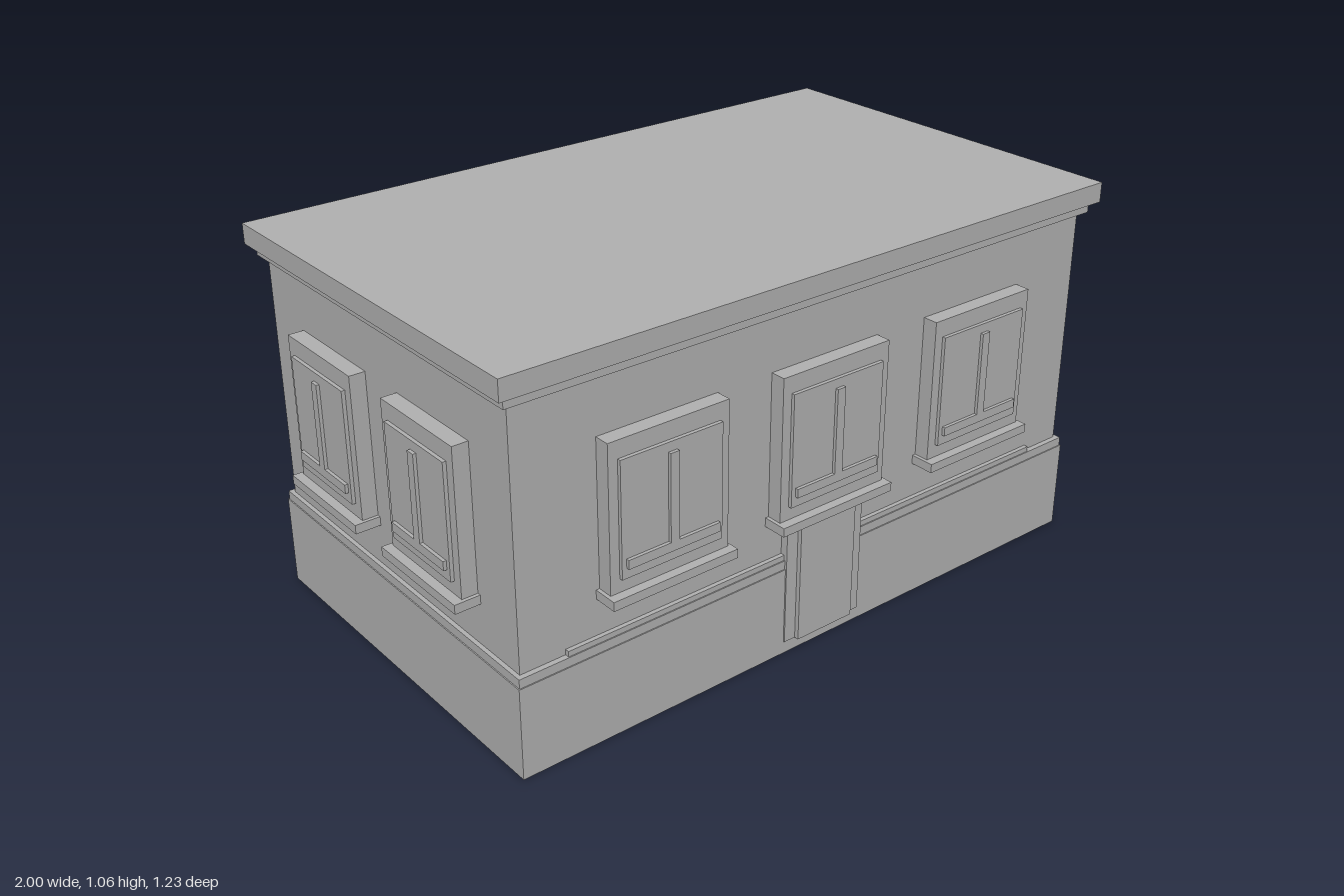
import * as THREE from 'three';

export function createModel() {
  const model = new THREE.Group();
  model.name = 'building';
  const stone = new THREE.MeshStandardMaterial({ color: 0xb2b2b2 });
  stone.name = 'grey stone';

  // Box given by its limits on each axis
  function block(parent, name, [x0, x1], [y0, y1], [z0, z1]) {
    const mesh = new THREE.Mesh(new THREE.BoxGeometry(x1 - x0, y1 - y0, z1 - z0), stone);
    mesh.position.set((x0 + x1) / 2, (y0 + y1) / 2, (z0 + z1) / 2);
    mesh.name = name;
    parent.add(mesh);
  }
  const span = (half) => [-half, half];

  // Main body, from the ground up
  block(model, 'base', span(0.943), [0, 0.255], span(0.563));
  block(model, 'baseTop', span(0.94), [0.255, 0.28], span(0.56));
  block(model, 'walls', span(0.928), [0.28, 0.97], span(0.545));
  block(model, 'lowerCornice', span(0.948), [0.97, 1.0], span(0.565));
  block(model, 'roofSlab', span(0.97), [1.0, 1.056], span(0.585));

  // Thin ledges above the base, broken by the door at the front
  block(model, 'frontLedgeRight', [-0.8, -0.13], [0.28, 0.295], [0.54, 0.557]);
  block(model, 'frontLedgeLeft', [0.13, 0.8], [0.28, 0.295], [0.54, 0.557]);
  block(model, 'backLedge', span(0.8), [0.28, 0.295], [-0.557, -0.54]);

  // Door and its surround
  block(model, 'doorSurround', span(0.13), [0.036, 0.395], [0.54, 0.567]);
  block(model, 'door', span(0.094), [0.036, 0.395], [0.54, 0.58]);

  // Window facing +z, with its local z = 0 on the wall plane
  function makeWindow(width) {
    const w = new THREE.Group();
    w.name = 'window';
    const half = width / 2;
    block(w, 'sill', span(half + 0.01), [0.395, 0.42], [-0.01, 0.069]);
    block(w, 'windowFrame', span(half), [0.42, 0.817], [-0.01, 0.043]);
    block(w, 'sash', span(half - 0.027), [0.457, 0.77], [0.03, 0.053]);
    block(w, 'mullion', span(0.013), [0.51, 0.745], [0.04, 0.062]);
    block(w, 'bottomRail', span(half - 0.04), [0.485, 0.51], [0.04, 0.062]);
    return w;
  }

  // Three windows on each long wall, two on each short wall
  for (const side of [1, -1]) {
    for (const x of [-0.522, 0, 0.522]) {
      const w = makeWindow(0.353);
      w.position.set(x, 0, side * 0.545);
      w.rotation.y = side > 0 ? 0 : Math.PI;
      model.add(w);
    }
    for (const z of [-0.229, 0.229]) {
      const w = makeWindow(0.31);
      w.position.set(side * 0.929, 0, z);
      w.rotation.y = side * Math.PI / 2;
      model.add(w);
    }
  }
  return model;
}
